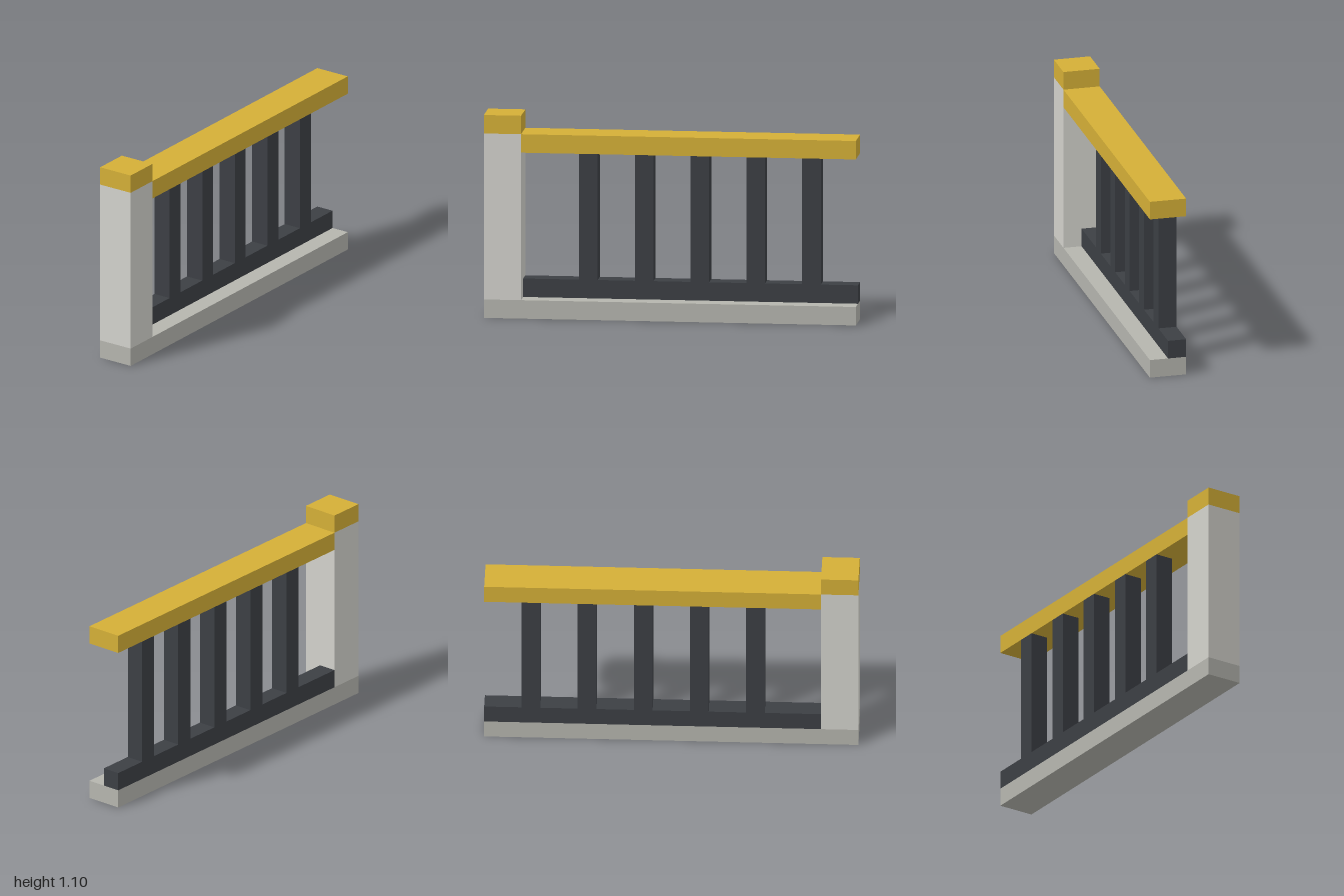
import * as THREE from 'three';

export function createModel() {
  const group = new THREE.Group();
  const paint = (color) => new THREE.MeshStandardMaterial({ color });
  const gold = paint(0xd4af37);
  const iron = paint(0x3c3f44);
  const stone = paint(0xd3d2cc);
  const plinth = paint(0xb5b5ae);

  // Box given by its min and max along each axis
  function addBox(name, material, [x0, x1], [y0, y1], [z0, z1]) {
    const mesh = new THREE.Mesh(new THREE.BoxGeometry(x1 - x0, y1 - y0, z1 - z0), material);
    mesh.position.set((x0 + x1) / 2, (y0 + y1) / 2, (z0 + z1) / 2);
    mesh.name = name;
    group.add(mesh);
  }

  const full = [-0.1, 0.1];
  const back = [-0.1, 0]; // ironwork sits in the rear half

  // Base and end post with its cap
  addBox('base', plinth, [-1, 1], [0, 0.1], full);
  addBox('post', stone, [-1, -0.8], [0.1, 1], full);
  addBox('postCap', gold, [-1, -0.8], [1, 1.1], full);

  // Rails
  addBox('handrail', gold, [-0.8, 1], [0.9, 1], full);
  addBox('bottomRail', iron, [-0.8, 1], [0.1, 0.2], back);

  // Balusters
  for (let i = 0; i < 5; i++) {
    const x = -0.5 + i * 0.3;
    addBox(`baluster${i + 1}`, iron, [x, x + 0.1], [0.2, 0.9], back);
  }

  return group;
}
